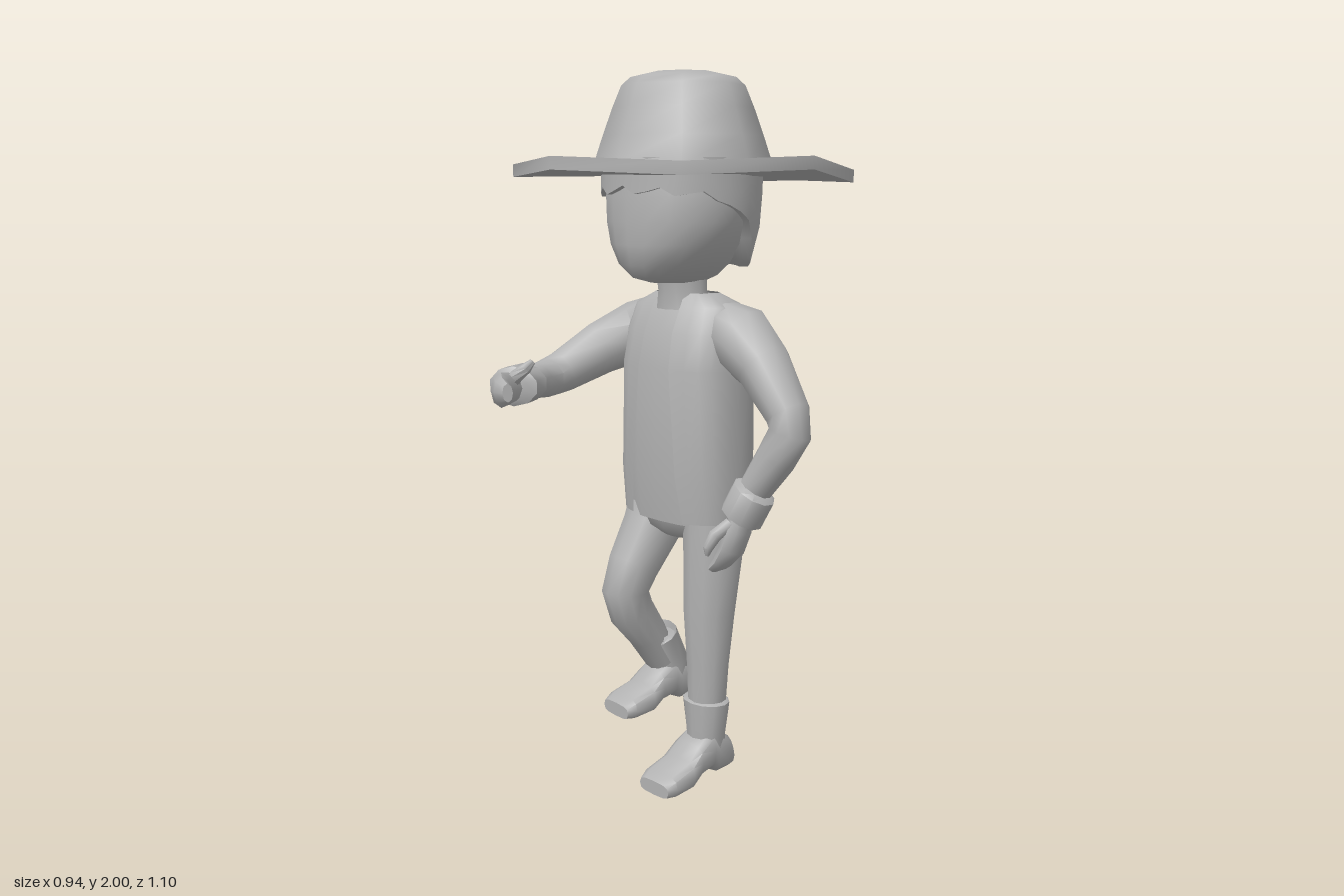
import * as THREE from 'three';
import { toCreasedNormals } from 'three/addons/utils/BufferGeometryUtils.js';

const clay = new THREE.MeshStandardMaterial({ color: 0xb2b2b2, side: THREE.DoubleSide });
clay.name = 'plain grey';

const V = (x, y, z) => new THREE.Vector3(x, y, z);
const spow = (v, p) => Math.sign(v) * Math.pow(Math.abs(v), p);

// Skin rings of equal length; closed rings may be capped at both ends.
function loft(name, rings, { closed = true, crease = 0.95 } = {}) {
  const n = rings[0].length, pos = [], idx = [];
  rings.forEach(r => r.forEach(p => pos.push(p.x, p.y, p.z)));
  for (let i = 0; i < rings.length - 1; i++) {
    for (let j = 0; j < (closed ? n : n - 1); j++) {
      const k = (j + 1) % n, a = i * n + j, b = i * n + k;
      idx.push(a, b, b + n, a, b + n, a + n);
    }
  }
  if (closed) {
    [0, rings.length - 1].forEach((r, end) => {
      const c = V(0, 0, 0);
      rings[r].forEach(p => c.addScaledVector(p, 1 / n));
      const m = pos.length / 3;
      pos.push(c.x, c.y, c.z);
      for (let j = 0; j < n; j++) {
        const a = r * n + j, b = r * n + (j + 1) % n;
        if (end) idx.push(a, b, m); else idx.push(b, a, m);
      }
    });
  }
  const g = new THREE.BufferGeometry();
  g.setAttribute('position', new THREE.Float32BufferAttribute(pos, 3));
  g.setIndex(idx);
  const mesh = new THREE.Mesh(toCreasedNormals(g, crease), clay);
  mesh.name = name;
  return mesh;
}

function ring(c, u, v, a, b, n, p = 1) {
  return Array.from({ length: n }, (_, j) => {
    const t = (j / n) * Math.PI * 2;
    return c.clone().addScaledVector(u, a * spow(Math.cos(t), p)).addScaledVector(v, b * spow(Math.sin(t), p));
  });
}

// Tube along points [x, y, z, radius along hint, other radius].
function limb(name, path, n = 10, hint = V(0, 0, 1)) {
  const pts = path.map(q => V(q[0], q[1], q[2]));
  return loft(name, path.map((q, i) => {
    const t = pts[Math.min(i + 1, pts.length - 1)].clone().sub(pts[Math.max(i - 1, 0)]).normalize();
    const u = hint.clone().addScaledVector(t, -hint.dot(t)).normalize();
    return ring(pts[i], u, t.clone().cross(u), q[3], q[4] ?? q[3], n);
  }));
}

// Stack of level rings [y, z centre, half width, half depth].
const stack = (name, rows, n = 16, p = 1) => loft(name,
  rows.map(([y, z, a, b]) => ring(V(0, y, z), V(1, 0, 0), V(0, 0, -1), a, b, n, p)));

// Eight-sided hat whose brim lifts at the sides and front.
function hat() {
  const lift = [0.03, 0.0, 0.008, 0.0, 0.03, 0.015, 0.03, 0.015];
  const rows = [[0.2, 1.725], [0.47, 1.706, 1], [0.47, 1.74, 1], [0.247, 1.755], [0.222, 1.83],
    [0.195, 1.905], [0.17, 1.965], [0.145, 1.988], [0.09, 2]];
  return loft('hat', rows.map(([r, y, brim]) => {
    const pts = ring(V(0, y, -0.08), V(1, 0, 0), V(0, 0, -1), r, r, 8);
    if (brim) pts.forEach((p, j) => { p.y += lift[j]; });
    return pts;
  }), { crease: 0.85 });
}

// Hair shell: its lower edge runs from the fringe down to the nape.
function hair() {
  const edge = [[0, 1.685], [55, 1.675], [85, 1.64], [103, 1.6], [119, 1.5], [140, 1.475], [181, 1.48]];
  const n = 36;
  const bottom = d => {
    const i = edge.findIndex((e, k) => d < edge[k + 1][0]);
    const [d0, y0] = edge[i], [d1, y1] = edge[i + 1];
    return y0 + (y1 - y0) * (d - d0) / (d1 - d0);
  };
  const levels = [[0, 0.86], [0, 1], [0.35, 1], [0.7, 1], [1, 1]];
  return loft('hair', levels.map(([f, s]) => Array.from({ length: n }, (_, j) => {
    const a = (j / n) * Math.PI * 2;
    const d = Math.abs(a > Math.PI ? a - Math.PI * 2 : a) * 180 / Math.PI;
    const y0 = bottom(d) + (d < 60 ? [0.012, -0.008, 0.0][j % 3] : 0);
    const y = y0 + (1.77 - y0) * f;
    const taper = s * (1 - 2.6 * Math.pow(Math.max(0, 1.65 - y), 1.6));
    return V(0.226 * taper * Math.sin(a), y, -0.075 + 0.22 * taper * Math.cos(a));
  })));
}

// Open jacket with a gap at the front; the lower front corners flare.
function jacket() {
  const rows = [[0.77, -0.1, 0.198, 0.126, 0.1], [0.9, -0.1, 0.203, 0.138, 0.085], [1.2, -0.102, 0.2, 0.138, 0.06],
    [1.3, -0.106, 0.195, 0.122, 0.055], [1.37, -0.11, 0.178, 0.095, 0.055], [1.405, -0.1, 0.1, 0.06, 0.045]];
  return loft('jacket', rows.map(([y, z, a, b, gap]) => {
    const g = Math.asin(Math.pow(gap / a, 1 / 0.75));
    return Array.from({ length: 23 }, (_, j) => {
      const t = g + (j / 22) * (Math.PI * 2 - 2 * g);
      return V(a * spow(Math.sin(t), 0.75), y, z + b * spow(Math.cos(t), 0.75));
    });
  }), { closed: false });
}

// Boot: foot lofted front to back, plus a shaft that may lean forward.
function boot(name, lean) {
  const g = new THREE.Group();
  g.name = name;
  const foot = [[-0.145, 0.045, 0.022, 0.08], [-0.125, 0.055, 0.018, 0.12], [-0.075, 0.058, 0.016, 0.15],
    [-0.055, 0.058, 0.035, 0.155], [0, 0.062, 0.028, 0.12], [0.04, 0.067, 0.004, 0.085],
    [0.11, 0.067, 0, 0.062], [0.138, 0.058, 0.004, 0.045]];
  g.add(loft('foot', foot.map(([z, w, y0, y1]) =>
    ring(V(0, (y0 + y1) / 2, z), V(1, 0, 0), V(0, 1, 0), w, (y1 - y0) / 2, 12, 0.6))));
  g.add(limb('bootShaft', [[0, 0.07, -0.075, 0.055, 0.055], [0, 0.13, -0.07, 0.055, 0.058],
    [0, 0.235 - lean * 0.1, -0.07 + lean, 0.06, 0.075], [0, 0.24 - lean * 0.1, -0.07 + lean, 0.052, 0.065]], 12));
  return g;
}

export function createModel() {
  const model = new THREE.Group();
  model.name = 'figure';
  model.add(hat(), hair(), jacket());

  // Head, neck and body
  model.add(stack('head', [[1.435, -0.06, 0.06, 0.09], [1.45, -0.05, 0.09, 0.14], [1.485, -0.05, 0.138, 0.168],
    [1.54, -0.055, 0.182, 0.183], [1.6, -0.06, 0.206, 0.19], [1.67, -0.065, 0.213, 0.195], [1.76, -0.07, 0.2, 0.19]], 20));
  model.add(stack('neck', [[1.36, -0.09, 0.085, 0.08], [1.41, -0.08, 0.07, 0.07], [1.47, -0.075, 0.07, 0.075]], 12));
  model.add(stack('shirt', [[0.76, -0.1, 0.18, 0.112], [0.9, -0.1, 0.188, 0.128], [1.2, -0.102, 0.186, 0.129],
    [1.3, -0.106, 0.182, 0.113], [1.37, -0.11, 0.165, 0.086], [1.4, -0.1, 0.09, 0.055]], 20, 0.75));
  model.add(stack('hips', [[0.705, -0.1, 0.06, 0.06], [0.735, -0.1, 0.15, 0.095], [0.79, -0.1, 0.185, 0.11], [0.85, -0.1, 0.18, 0.11]], 16, 0.8));

  // Left leg stands, right leg is bent and raised
  model.add(limb('leftTrouserLeg', [[0.11, 0.8, -0.1, 0.1, 0.08], [0.115, 0.7, -0.095, 0.095, 0.083],
    [0.117, 0.5, -0.075, 0.076, 0.074], [0.117, 0.35, -0.07, 0.06, 0.064], [0.115, 0.21, -0.07, 0.052, 0.057]], 12));
  model.add(limb('rightTrouserLeg', [[-0.11, 0.8, -0.1, 0.1, 0.08], [-0.115, 0.71, -0.07, 0.095, 0.083],
    [-0.122, 0.6, 0.0, 0.08, 0.075], [-0.125, 0.53, 0.03, 0.07, 0.07], [-0.125, 0.46, 0.005, 0.068, 0.067],
    [-0.122, 0.38, -0.055, 0.058, 0.06], [-0.12, 0.29, -0.11, 0.048, 0.054]], 12));
  const leftBoot = boot('leftBoot', 0), rightBoot = boot('rightBoot', 0.055);
  leftBoot.position.set(0.112, 0, 0);
  rightBoot.position.set(-0.125, 0.14, -0.078);
  rightBoot.rotation.y = -0.08;
  model.add(leftBoot, rightBoot);

  // Left arm hangs with the elbow out
  model.add(limb('leftSleeve', [[0.13, 1.31, -0.11, 0.08], [0.2, 1.285, -0.11, 0.09, 0.097], [0.28, 1.22, -0.11, 0.075, 0.082],
    [0.375, 1.1, -0.105, 0.058, 0.066], [0.388, 1.05, -0.1, 0.056, 0.062], [0.35, 0.98, -0.09, 0.052, 0.057], [0.28, 0.87, -0.07, 0.045]], 10));
  model.add(limb('leftCuff', [[0.296, 0.89, -0.073, 0.045], [0.29, 0.88, -0.071, 0.058, 0.064],
    [0.25, 0.805, -0.064, 0.058, 0.064], [0.246, 0.796, -0.062, 0.04]], 10));
  model.add(limb('leftHand', [[0.255, 0.82, -0.062, 0.033, 0.027], [0.245, 0.765, -0.055, 0.045, 0.032],
    [0.232, 0.71, -0.045, 0.046, 0.028], [0.205, 0.67, -0.035, 0.036, 0.022], [0.177, 0.648, -0.03, 0.022, 0.012]], 8));
  model.add(limb('leftThumb', [[0.24, 0.79, -0.03, 0.018], [0.215, 0.755, 0.005, 0.019], [0.205, 0.72, 0.022, 0.014], [0.203, 0.7, 0.022, 0.006]], 8));

  // Right arm reaches forward across the body
  const up = V(0, 1, 0);
  model.add(limb('rightSleeve', [[-0.13, 1.31, -0.11, 0.08], [-0.2, 1.28, -0.1, 0.09], [-0.262, 1.23, 0, 0.078],
    [-0.298, 1.17, 0.11, 0.063], [-0.297, 1.155, 0.17, 0.056], [-0.25, 1.158, 0.25, 0.048], [-0.17, 1.165, 0.36, 0.042]], 10, up));
  model.add(limb('rightCuff', [[-0.192, 1.17, 0.335, 0.042], [-0.187, 1.17, 0.343, 0.054, 0.07],
    [-0.15, 1.17, 0.405, 0.054, 0.07], [-0.145, 1.17, 0.413, 0.04]], 10, up));
  model.add(limb('rightHand', [[-0.155, 1.165, 0.4, 0.032, 0.027], [-0.125, 1.17, 0.44, 0.043, 0.032],
    [-0.09, 1.175, 0.49, 0.046, 0.028], [-0.045, 1.178, 0.52, 0.038, 0.022], [0.004, 1.183, 0.54, 0.024, 0.014]], 8, up));
  model.add(limb('rightThumb', [[-0.13, 1.18, 0.43, 0.02], [-0.098, 1.205, 0.435, 0.019], [-0.075, 1.228, 0.418, 0.015], [-0.065, 1.245, 0.405, 0.008]], 8, up));

  return model;
}
